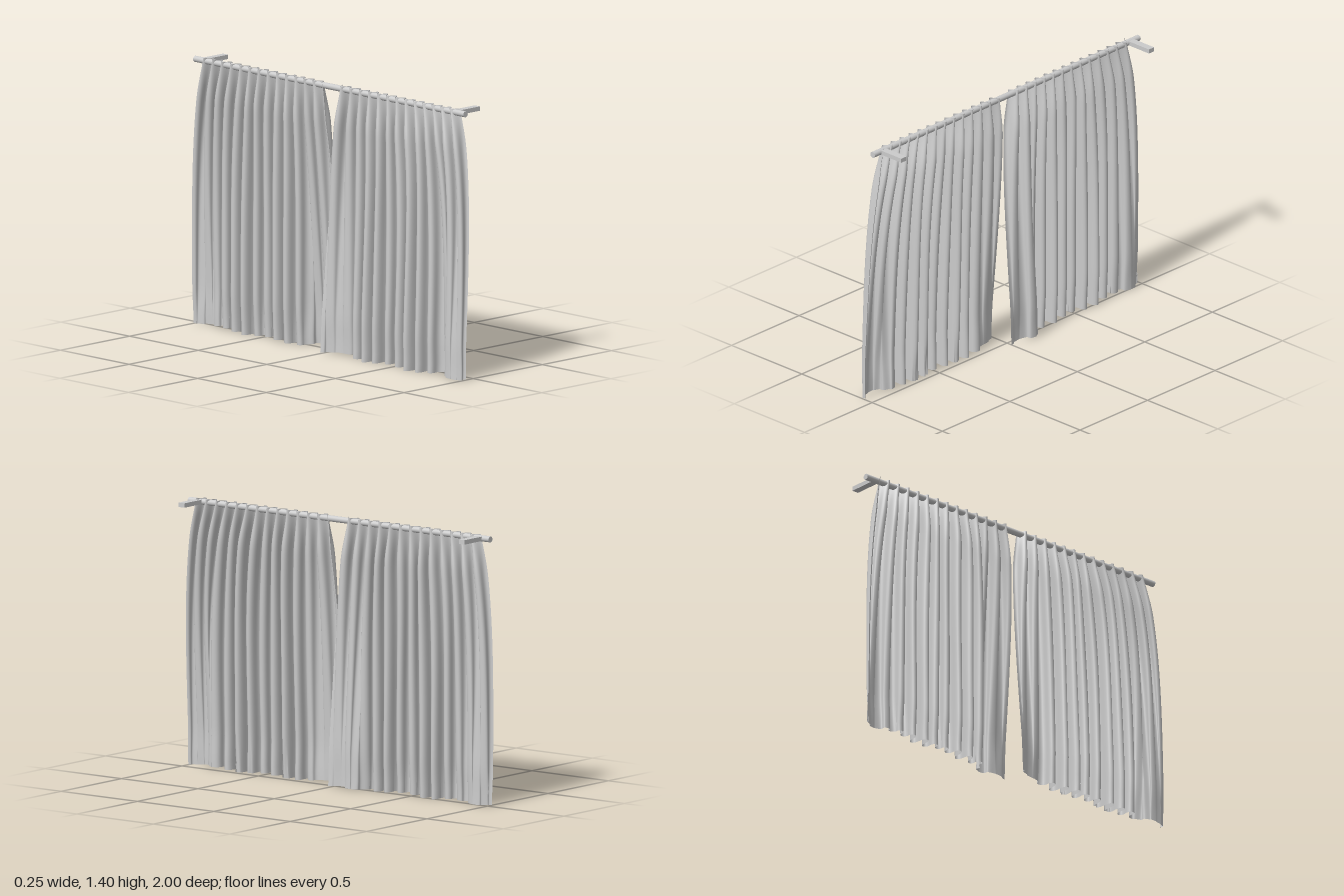
import * as THREE from 'three';

const material = new THREE.MeshStandardMaterial({ color: 0xcccccc });
const clothMaterial = new THREE.MeshStandardMaterial({ color: 0xcccccc, side: THREE.DoubleSide });

const ROD_X = -0.025, ROD_Y = 1.385, TOP = 1.403;
const HALF_FOLDS = 26, STEPS = 10, ROWS = 44;

function add(parent, name, geometry, x, y, z) {
  const mesh = new THREE.Mesh(geometry, material);
  mesh.name = name;
  mesh.position.set(x, y, z);
  parent.add(mesh);
  return mesh;
}

// Hem line seen from above: inner points, a run of tight folds, outer points; all as [z, x]
function hemCurve({ inner, outer, firstFold, step, back, front }) {
  const points = [...inner];
  for (let j = 0; j < 16; j++) {
    const vary = 0.012 * Math.sin(j * 2.3 + 1);
    points.push([firstFold + step * j, (j % 2 ? front : back) + vary]);
  }
  points.push(...outer);
  return new THREE.CatmullRomCurve3(points.map(([z, x]) => new THREE.Vector3(x, 0, z)), false, 'catmullrom', 0.5);
}

// Cloth sheet: regular pleats on the rod blend into the looser hem line below
function curtain(name, spec) {
  const hem = hemCurve(spec);
  const sign = spec.inner.length % 2 ? 1 : -1;
  const dir = Math.sign(spec.step);
  const cols = HALF_FOLDS * STEPS;
  const geometry = new THREE.PlaneGeometry(1, 1, cols, ROWS);
  const pos = geometry.attributes.position;
  const p = new THREE.Vector3();
  for (let r = 0; r <= ROWS; r++) {
    const d = Math.pow(r / ROWS, 1.4);              // 0 at the rod, 1 at the hem
    const spread = 1 - Math.pow(1 - d, 4);
    const swell = THREE.MathUtils.smoothstep(d, 0, 0.16);
    for (let c = 0; c <= cols; c++) {
      const u = c / cols, k = u * HALF_FOLDS;
      hem.getPoint(u, p);
      const vary = 1 + 0.25 * Math.sin(k * 0.9 + 0.7);
      const pleat = sign * Math.cos(Math.PI * k) * (0.021 + 0.017 * swell * vary) * (1 - d);
      const bulge = dir * 0.007 * Math.sin(2 * Math.PI * k) * swell;
      const inside = Math.sin(Math.PI * u);
      const sway = 0.006 * Math.sin(6 * d + k * 0.8) * inside * swell * (1 - d);
      const tuck = -0.008 * THREE.MathUtils.smoothstep(d, 0.85, 1) * Math.sign(p.x - ROD_X);
      const x = THREE.MathUtils.lerp(ROD_X, p.x, d) + pleat + tuck;
      const z = THREE.MathUtils.lerp(THREE.MathUtils.lerp(spec.top[0], spec.top[1], u), p.z, spread) + bulge + sway;
      const bottom = 0.005 * (1 + Math.sin(k * 0.7));
      const y = THREE.MathUtils.lerp(TOP, bottom, d);
      pos.setXYZ(r * (cols + 1) + c, x, y, z);
    }
  }
  geometry.computeVertexNormals();
  const mesh = new THREE.Mesh(geometry, clothMaterial);
  mesh.name = name;
  return mesh;
}

export function createModel() {
  const group = new THREE.Group();
  group.name = 'curtains';

  // Rod running along z
  const rod = add(group, 'rod', new THREE.CylinderGeometry(0.016, 0.016, 1.97, 20), ROD_X, ROD_Y, -0.015);
  rod.rotation.x = Math.PI / 2;

  // Wall brackets
  for (const z of [0.9, -0.935]) {
    add(group, 'bracket', new THREE.BoxGeometry(0.15, 0.023, 0.038), 0.055, ROD_Y, z);
  }

  // Front panel hangs towards -x
  group.add(curtain('frontCurtain', {
    top: [0.05, 0.91], firstFold: 0.23, step: 0.0385, back: -0.115, front: -0.025,
    inner: [[0.0, -0.122], [0.04, -0.09], [0.09, -0.07], [0.14, -0.065], [0.19, -0.035]],
    outer: [[0.85, -0.05], [0.88, -0.09], [0.91, -0.105], [0.95, -0.1], [0.98, -0.09], [1.0, -0.06]],
  }));

  // Back panel, its inner edge billows towards +x
  group.add(curtain('backCurtain', {
    top: [-0.055, -0.92], firstFold: -0.23, step: -0.0385, back: -0.065, front: 0.015,
    inner: [[0.01, 0.05], [-0.04, 0.035], [-0.09, 0.04], [-0.13, 0.073], [-0.17, 0.06], [-0.195, 0.01]],
    outer: [[-0.85, -0.02], [-0.89, 0.015], [-0.93, 0.015], [-0.97, -0.01], [-1.0, -0.045]],
  }));

  return group;
}
